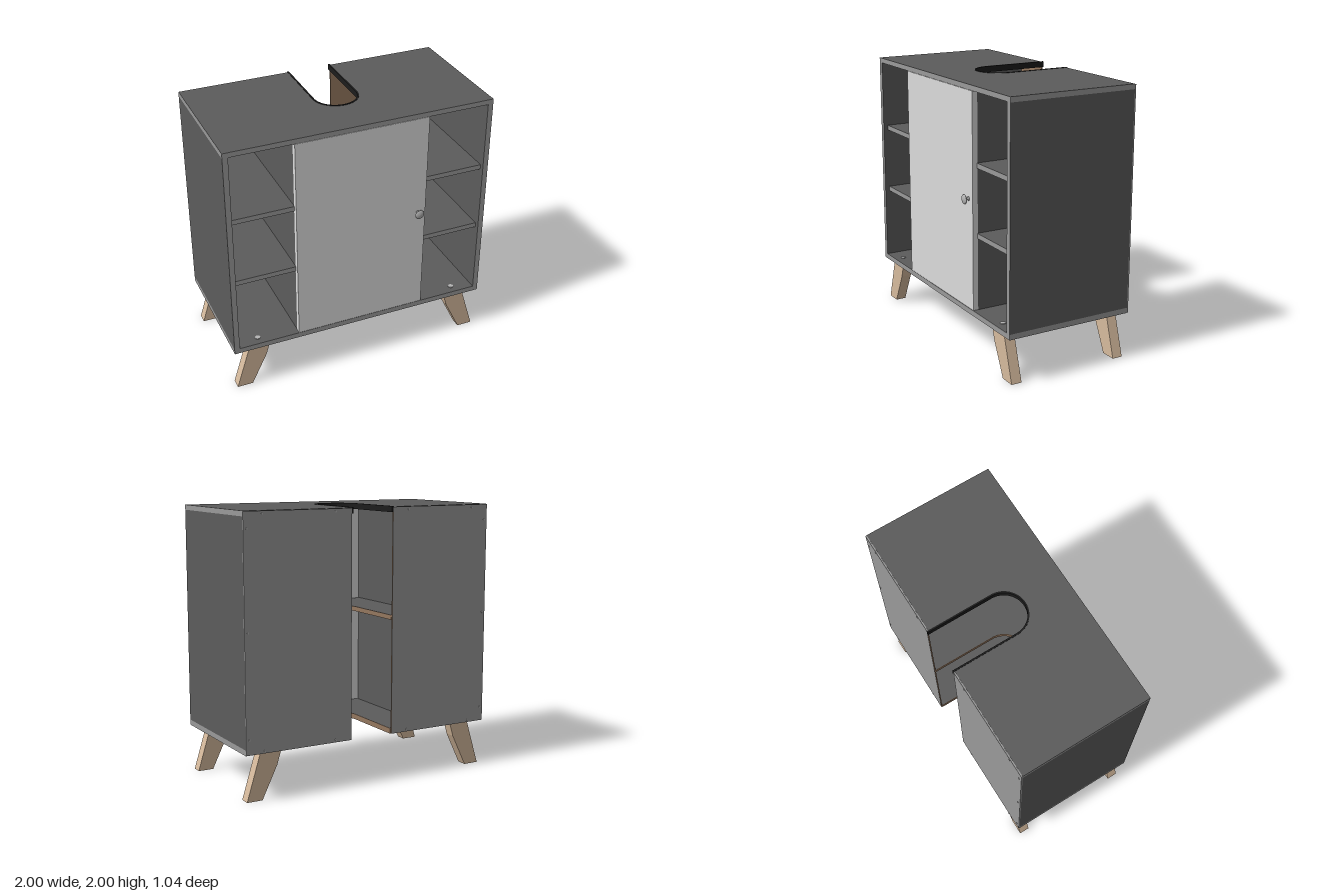
import * as THREE from 'three';

const mat = (name, color) => {
  const m = new THREE.MeshStandardMaterial({ color });
  m.name = name;
  return m;
};

const FRONT = 0.475, BACK = 0.505, NOTCH_R = 0.17, NOTCH_Y = 0.02;

// Board outline (shape y = -z) with a U notch open to the back
function notchedShape(halfW, front) {
  const s = new THREE.Shape();
  s.moveTo(-halfW, -front);
  s.lineTo(halfW, -front);
  s.lineTo(halfW, BACK);
  s.lineTo(NOTCH_R, BACK);
  s.lineTo(NOTCH_R, NOTCH_Y);
  s.absarc(0, NOTCH_Y, NOTCH_R, 0, Math.PI, true);
  s.lineTo(-NOTCH_R, BACK);
  s.lineTo(-halfW, BACK);
  s.closePath();
  return s;
}

// Thin U strip that lines the notch
function linerShape(t, back) {
  const r = NOTCH_R, s = new THREE.Shape();
  s.moveTo(r, back);
  s.lineTo(r, NOTCH_Y);
  s.absarc(0, NOTCH_Y, r, 0, Math.PI, true);
  s.lineTo(-r, back);
  s.lineTo(-r + t, back);
  s.lineTo(-r + t, NOTCH_Y);
  s.absarc(0, NOTCH_Y, r - t, Math.PI, Math.PI * 2, false);
  s.lineTo(r - t, back);
  s.closePath();
  return s;
}

export function createModel() {
  const dark = mat('dark grey panel', 0x5c5c5c);
  const grey = mat('grey edge', 0x9a9a9a);
  const white = mat('pale door', 0xdcdcdc);
  const brown = mat('raw brown board', 0x94775f);
  const wood = mat('leg wood', 0xd6ba9d);
  const black = mat('black trim', 0x1c1c1c);
  const metal = mat('metal', 0xb4b4b4);

  const model = new THREE.Group();
  const add = (name, geo, material, x = 0, y = 0, z = 0) => {
    const m = new THREE.Mesh(geo, material);
    m.name = name;
    m.position.set(x, y, z);
    model.add(m);
    return m;
  };
  // Box given by its limits
  const box = (name, material, x0, x1, y0, y1, z0, z1) =>
    add(name, new THREE.BoxGeometry(Math.abs(x1 - x0), y1 - y0, z1 - z0), material,
      (x0 + x1) / 2, (y0 + y1) / 2, (z0 + z1) / 2);
  // Horizontal slab extruded upwards from y0 to y1
  const slab = (name, shape, material, y0, y1) => {
    const geo = new THREE.ExtrudeGeometry(shape, { depth: y1 - y0, bevelEnabled: false, curveSegments: 28 });
    geo.rotateX(-Math.PI / 2);
    return add(name, geo, material, 0, y0, 0);
  };

  // Top, bottom and middle boards with the pipe notch
  slab('topPanel', notchedShape(1, FRONT), [dark, grey], 1.96, 1.997);
  slab('bottomPanel', notchedShape(1, FRONT), [dark, grey], 0.34, 0.38);
  slab('middleShelf', notchedShape(0.46, 0.42), [dark, grey], 1.185, 1.22);
  slab('topNotchTrim', linerShape(0.012, 0.517), black, 1.957, 2);
  slab('bottomNotchEdge', linerShape(0.003, BACK), brown, 0.34, 0.38);
  slab('middleNotchEdge', linerShape(0.003, BACK), brown, 1.185, 1.22);

  // Sliding-style door and its knob
  box('door', white, -0.5, 0.5, 0.382, 1.958, 0.435, FRONT);
  const knob = [[0, 0], [0.016, 0], [0.009, 0.006], [0.009, 0.022], [0.03, 0.027],
    [0.036, 0.032], [0.033, 0.038], [0.018, 0.043], [0, 0.045]].map(p => new THREE.Vector2(...p));
  add('knob', new THREE.LatheGeometry(knob, 28), metal, 0.44, 1.195, FRONT).rotation.x = Math.PI / 2;

  const disc = new THREE.CylinderGeometry(0.02, 0.02, 0.006, 16);
  const screw = new THREE.CylinderGeometry(0.007, 0.007, 0.005, 10).rotateX(Math.PI / 2);
  const pin = new THREE.CylinderGeometry(0.007, 0.007, 0.02, 10).rotateZ(Math.PI / 2);

  for (const s of [-1, 1]) {
    const edged = [dark, dark, dark, dark, grey, grey];
    box('sidePanel', edged, s * 0.96, s, 0.38, 1.96, -BACK, FRONT);
    box('divider', edged, s * 0.46, s * 0.498, 0.38, 1.96, -BACK, 0.434);

    // Open shelves beside the door
    for (const y of [0.915, 1.42])
      box('sideShelf', edged, s * 0.498, s * 0.96, y, y + 0.037, -BACK, 0.44);

    // Back panel: grey outside, raw board inside and along the notch
    const backMats = s > 0 ? [grey, brown, grey, grey, brown, grey] : [brown, grey, grey, grey, brown, grey];
    box('backPanel', backMats, s * NOTCH_R, s, 0.342, 1.994, -0.515, -BACK);

    // Screws in the back panel
    for (const y of [0.36, 1.975])
      for (const x of [0.3, 0.86]) add('backScrew', screw, metal, s * x, y, -0.517);
    for (const y of [0.45, 1.185, 1.88]) add('backScrew', screw, metal, s * 0.975, y, -0.517);

    // Pins under the lower shelf
    for (const z of [-0.35, 0.38])
      for (const x of [0.506, 0.952]) add('shelfPin', pin, metal, s * x, 0.908, z);

    // Splayed legs and the bolt heads above them
    const leg = new THREE.Shape([[0.72, 0.34], [0.75, 0.24], [0.867, 0], [0.985, 0], [0.88, 0.34]]
      .map(([x, y]) => new THREE.Vector2(s * x, y)));
    const legGeo = new THREE.ExtrudeGeometry(leg, { depth: 0.079, bevelEnabled: false });
    for (const [name, z] of [['frontLeg', 0.368], ['backLeg', -0.485]]) {
      add(name, legGeo, wood, 0, 0, z);
      add('legBolt', disc, metal, s * 0.8, 0.383, z + 0.04);
    }
  }
  return model;
}
